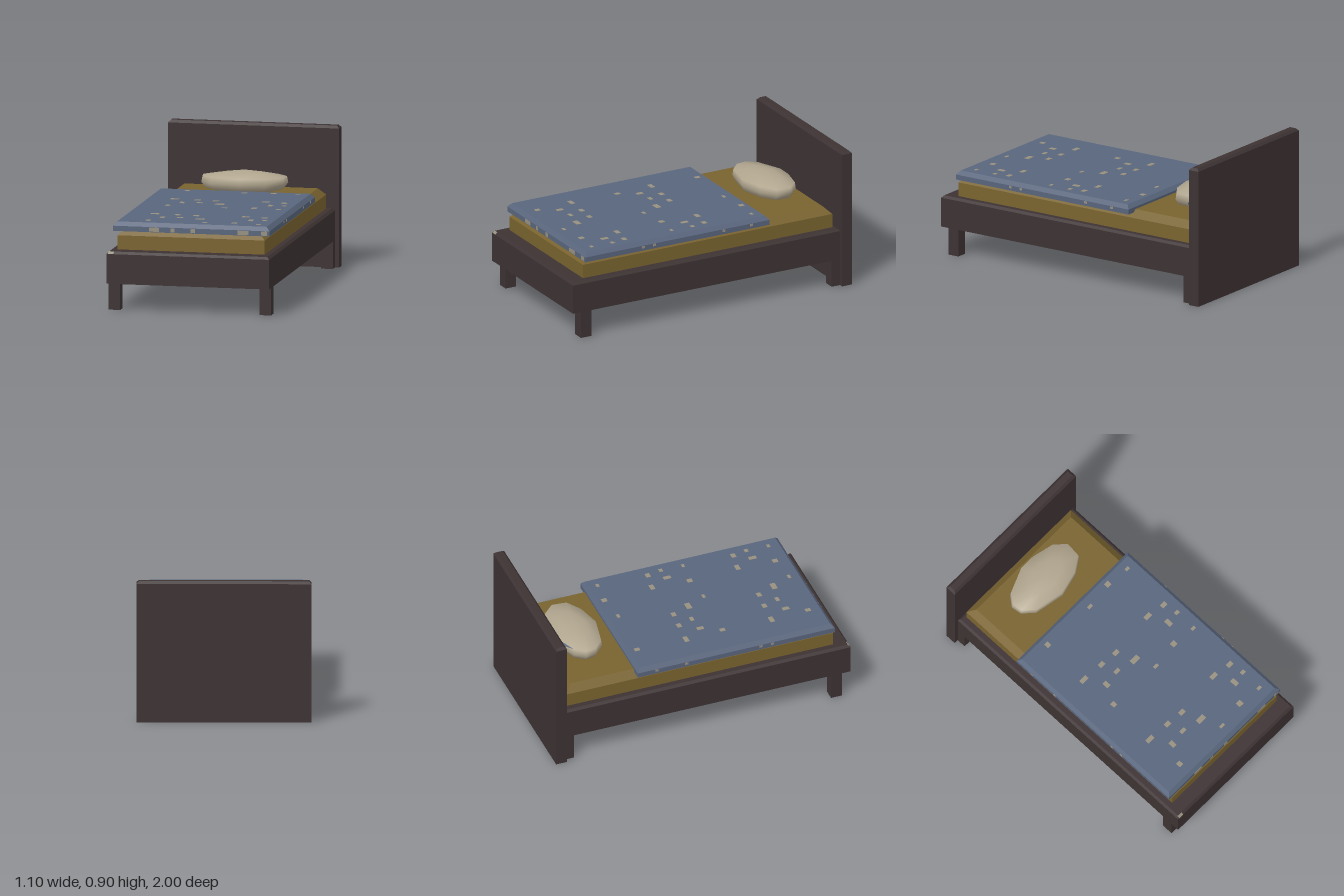
import * as THREE from 'three';

const paint = (name, color) => {
  const m = new THREE.MeshStandardMaterial({ color });
  m.name = name;
  return m;
};

// Box between y0 and y1, with its top edges chamfered by (inset, drop)
function chamferBox(x, y0, y1, z0, z1, inset, drop) {
  const h = y1 - y0;
  const g = new THREE.BoxGeometry(2 * x, h, z1 - z0, 1, 2, 1);
  const p = g.attributes.position;
  for (let i = 0; i < p.count; i++) {
    const y = p.getY(i);
    if (Math.abs(y) < 1e-6) p.setY(i, h / 2 - drop);
    else if (y > 0) {
      p.setX(i, p.getX(i) - Math.sign(p.getX(i)) * inset);
      p.setZ(i, p.getZ(i) - Math.sign(p.getZ(i)) * inset);
    }
  }
  const flat = g.toNonIndexed();
  flat.computeVertexNormals();
  flat.translate(0, (y0 + y1) / 2, (z0 + z1) / 2);
  return flat;
}

// Soft pillow lofted from scaled copies of one outline; some rim faces are blue
function pillowGeometry() {
  const outline = [[-0.28, -0.69], [-0.27, -0.62], [-0.2, -0.555], [0, -0.515], [0.16, -0.555], [0.26, -0.62],
    [0.27, -0.72], [0.2, -0.79], [0.05, -0.825], [-0.06, -0.825], [-0.23, -0.755]];
  const levels = [[0.515, 0.62], [0.533, 0.9], [0.57, 1], [0.61, 0.97], [0.632, 0.5]];
  const n = outline.length, cz = -0.67, pos = [], cream = [], blue = [];
  for (const [y, s] of levels) for (const [x, z] of outline) pos.push(x * s, y, cz + (z - cz) * s);
  const bottom = pos.length / 3;
  pos.push(0, 0.513, cz, 0, 0.65, cz);
  for (let i = 0; i < n; i++) {
    const j = (i + 1) % n;
    for (let k = 0; k < levels.length - 1; k++) {
      const a = k * n + i, b = k * n + j, c = a + n, d = b + n;
      const torn = (i === 6 && k === 1) || (i === 9 && k === 2);
      cream.push(a, b, d);
      (torn ? blue : cream).push(a, d, c);
    }
    const t = (levels.length - 1) * n;
    cream.push(t + i, t + j, bottom + 1);
    cream.push(j, i, bottom);
  }
  const g = new THREE.BufferGeometry();
  g.setAttribute('position', new THREE.Float32BufferAttribute(pos, 3));
  g.setIndex([...cream, ...blue]);
  g.addGroup(0, cream.length, 0);
  g.addGroup(cream.length, blue.length, 1);
  g.computeVertexNormals();
  return g;
}

export function createModel() {
  const wood = paint('dark wood', 0x3d3233);
  const ochre = paint('ochre mattress', 0x79632f);
  const blue = paint('slate blue cloth', 0x58657c);
  const cream = paint('cream cloth', 0xb0a58e);
  const speckle = paint('tan speckle', 0x97907f);

  const bed = new THREE.Group();
  bed.name = 'bed';
  const add = (name, geometry, material, parent = bed) => {
    const mesh = new THREE.Mesh(geometry, material);
    mesh.name = name;
    parent.add(mesh);
    return mesh;
  };

  // Wooden frame, headboard and legs
  add('frame', chamferBox(0.525, 0.175, 0.38, -0.93, 1, 0.015, 0.015), wood);
  add('headboard', chamferBox(0.552, 0, 0.905, -1, -0.927, 0.016, 0.016), wood);
  for (const x of [-1, 1]) for (const z of [-1, 1]) {
    const leg = add(z > 0 ? 'frontLeg' : 'backLeg', new THREE.BoxGeometry(0.075, 0.18, 0.075), wood);
    leg.position.set(x * 0.487, 0.09, z * 0.905);
  }

  // Bedding
  add('mattress', chamferBox(0.475, 0.375, 0.515, -0.9, 0.9, 0.045, 0.045), ochre);
  add('blanket', chamferBox(0.505, 0.497, 0.555, -0.43, 0.9, 0.023, 0.025), blue);
  add('pillow', pillowGeometry(), [cream, blue]);

  // Speckles on the blanket top, repeating along its length: x, z, width, depth
  const spots = new THREE.Group();
  spots.name = 'blanketSpeckles';
  bed.add(spots);
  const pattern = [
    [-0.31, -0.03, 0.055, 0.03], [-0.16, -0.02, 0.04, 0.03], [-0.04, -0.01, 0.04, 0.03],
    [0.275, -0.035, 0.05, 0.03], [0.4, -0.015, 0.04, 0.03], [-0.235, 0.095, 0.03, 0.045],
    [-0.125, 0.08, 0.04, 0.025], [0.01, 0.108, 0.06, 0.035], [0.335, 0.09, 0.03, 0.05],
    [0.42, 0.08, 0.03, 0.025], [-0.3, 0.22, 0.03, 0.035], [0.07, 0.235, 0.035, 0.02],
    [0.255, 0.212, 0.035, 0.035], [0.415, 0.228, 0.03, 0.02]];
  for (const shift of [-0.577, 0, 0.577]) for (const [x, z, w, d] of pattern) {
    if (z + shift < -0.39 || z + shift > 0.85) continue;
    add('speckle', new THREE.BoxGeometry(w, 0.004, d), speckle, spots).position.set(x, 0.555, z + shift);
  }

  // Speckles on the blanket's foot edge and sides
  for (const [x, w] of [[-0.24, 0.065], [-0.12, 0.025], [0.01, 0.03], [0.335, 0.07], [0.47, 0.04]])
    add('edgeSpeckle', new THREE.BoxGeometry(w, 0.026, 0.004), speckle, spots).position.set(x, 0.514, 0.9);
  for (const side of [-1, 1]) for (const z of [0.48, 0.4, -0.1, -0.3])
    add('sideSpeckle', new THREE.BoxGeometry(0.004, 0.015, 0.02), speckle, spots).position.set(side * 0.505, 0.52, z);

  // Worn spot on the frame's front corner
  const worn = add('wornCorner', new THREE.BoxGeometry(0.035, 0.004, 0.02), speckle);
  worn.position.set(-0.497, 0.3725, 0.9925);
  worn.rotation.x = Math.PI / 4;
  return bed;
}
